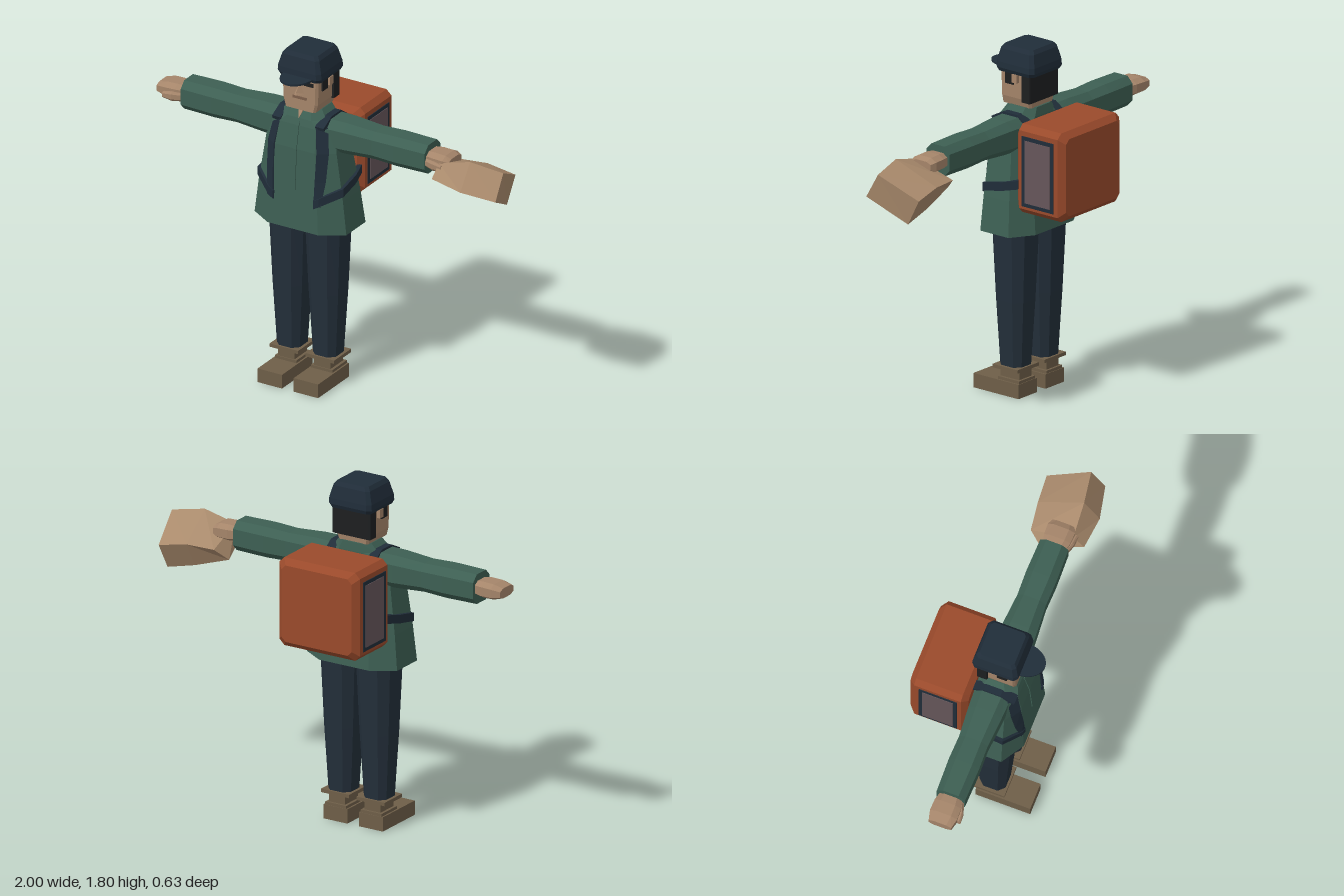
import * as THREE from 'three';

const makeMat = (name, color) => Object.assign(new THREE.MeshStandardMaterial({ color, flatShading: true }), { name });

// Eight-point chamfered rectangle at position t along an axis; k is the chamfer fraction.
function ring(axis, t, cu, cv, hu, hv, k = 0.45) {
  const a = hu * (1 - k), b = hv * (1 - k);
  return [[a, hv], [-a, hv], [-hu, b], [-hu, -b], [-a, -hv], [a, -hv], [hu, -b], [hu, b]].map(([u, v]) => {
    u += cu; v += cv;
    return axis === 'y' ? [u, t, v] : axis === 'x' ? [t, u, v] : [u, v, t];
  });
}

// Closed faceted solid through a list of rings, wound outward.
function loft(rings) {
  const tris = [], n = rings[0].length;
  for (let r = 0; r < rings.length - 1; r++) {
    for (let i = 0; i < n; i++) {
      const j = (i + 1) % n, A = rings[r], B = rings[r + 1];
      tris.push([A[i], A[j], B[j]], [A[i], B[j], B[i]]);
    }
  }
  const first = rings[0], last = rings[rings.length - 1];
  for (let i = 1; i < n - 1; i++) {
    tris.push([first[0], first[i + 1], first[i]], [last[0], last[i], last[i + 1]]);
  }
  let volume = 0;
  const o = new THREE.Vector3(...first[0]);
  for (const t of tris) {
    const [a, b, c] = t.map(p => new THREE.Vector3(...p).sub(o));
    volume += a.dot(b.cross(c));
  }
  if (volume < 0) tris.forEach(t => t.reverse());
  const g = new THREE.BufferGeometry();
  g.setAttribute('position', new THREE.Float32BufferAttribute(tris.flat(2), 3));
  g.computeVertexNormals();
  return g;
}

export function createModel() {
  const skin = makeMat('skin', 0xa5856a), kraft = makeMat('kraft paper', 0xa98a6c);
  const green = makeMat('jacket green', 0x3d5f53), navy = makeMat('navy', 0x202d39);
  const denim = makeMat('trouser blue', 0x232f3a), dark = makeMat('hair black', 0x1d1f20);
  const leather = makeMat('boot brown', 0x6e5e48), orange = makeMat('pack orange', 0x9a4a2b);
  const panel = makeMat('panel grey', 0x66565a), lip = makeMat('lip brown', 0x7d5f4b);

  const model = new THREE.Group();
  model.name = 'courier';
  const figure = new THREE.Group();
  figure.name = 'figure';
  figure.position.x = -0.14;
  model.add(figure);

  const add = (name, geo, mat) => {
    const m = new THREE.Mesh(geo, mat);
    m.name = name;
    figure.add(m);
    return m;
  };
  // Box from its lower and upper limits
  const box = (name, x0, x1, y0, y1, z0, z1, mat) =>
    add(name, new THREE.BoxGeometry(Math.abs(x1 - x0), y1 - y0, z1 - z0), mat)
      .position.set((x0 + x1) / 2, (y0 + y1) / 2, (z0 + z1) / 2);

  // Jacket: height, half width, back z, front z
  const coat = [[0.87, 0.267, -0.07, 0.26], [1.05, 0.245, -0.05, 0.25], [1.3, 0.205, -0.02, 0.235],
    [1.42, 0.19, -0.005, 0.212], [1.455, 0.13, -0.005, 0.2], [1.5, 0.093, 0, 0.172]];
  add('jacket', loft(coat.map(([y, hx, b, f]) => ring('y', y, 0, (b + f) / 2, hx, (f - b) / 2))), green);

  // Front surface of the jacket at a given side offset and height
  const coatZ = (x, y) => {
    let i = 0;
    while (i < coat.length - 2 && y > coat[i + 1][0]) i++;
    const t = (y - coat[i][0]) / (coat[i + 1][0] - coat[i][0]);
    const [hx, b, f] = [1, 2, 3].map(k => THREE.MathUtils.lerp(coat[i][k], coat[i + 1][k], t));
    return f - Math.max(0, x - hx * 0.55) * (f - b) / 2 / hx;
  };
  const zip = [1.44, 1.42, 1.3, 1.08].map(y => {
    const z = coatZ(0, y);
    return [[-0.009, y, z - 0.005], [0.009, y, z - 0.005], [0.009, y, z + 0.005], [-0.009, y, z + 0.005]];
  });
  add('zip', loft(zip), green);
  add('throat', loft([[[-0.015, 1.5, 0.165], [0.015, 1.5, 0.165], [0, 1.455, 0.19]],
    [[-0.015, 1.5, 0.179], [0.015, 1.5, 0.179], [0, 1.455, 0.203]]]), skin);

  // Ribbon from pairs of edge points, thickened toward the body axis
  const ribbon = (name, pairs) => add(name, loft(pairs.map(([a, b]) => {
    const move = (p, k) => [p[0] * k, p[1], 0.09 + (p[2] - 0.09) * k];
    return [move(a, 1.04), move(b, 1.04), move(b, 0.94), move(a, 0.94)];
  })), navy);

  for (const s of [-1, 1]) {
    const side = s > 0 ? 'left' : 'right';

    // Sleeve and hand, running out along x
    add(side + 'Sleeve', loft([[0.1, 0.085, 0.095], [0.24, 0.085, 0.088], [0.4, 0.075, 0.076],
      [0.53, 0.08, 0.08], [0.71, 0.078, 0.075]].map(([d, hy, hz]) => ring('x', s * d, 1.377, 0.09, hy, hz))), green);
    const reach = s > 0 ? 0.84 : 0.86;
    add(side + 'Hand', loft([[0.69, 0.036, 0.055], [0.75, 0.042, 0.07], [0.81, 0.04, 0.072],
      [reach, 0.026, 0.06]].map(([d, hy, hz]) => ring('x', s * d, 1.382, 0.09, hy, hz))), skin);
    add(side + 'Thumb', loft([[0.71, 0.022, 0.14], [0.76, 0.025, 0.157], [0.81, 0.016, 0.16]]
      .map(([d, h, z]) => ring('x', s * d, 1.368, z, h, 0.02))), skin);

    // Leg and boot
    const cx = s * 0.105;
    add(side + 'TrouserLeg', loft([[0.14, 0.066, 0.068], [0.5, 0.086, 0.088], [0.9, 0.102, 0.106]]
      .map(([y, hx, hz]) => ring('y', y, cx, 0.092, hx, hz))), denim);
    box(side + 'BootCuff', cx - 0.083, cx + 0.083, 0.137, 0.155, 0.012, 0.172, leather);
    box(side + 'BootAnkle', cx - 0.047, cx + 0.047, 0.08, 0.14, 0.03, 0.15, leather);
    box(side + 'BootHeel', cx - 0.062, cx + 0.062, 0.05, 0.09, 0.018, 0.155, leather);
    box(side + 'BootFoot', cx - 0.071, cx + 0.071, 0, 0.075, 0.015, 0.305, leather);

    // Pack straps: over the shoulder and down the chest, then round the waist
    const chest = [[0.1, 0.15, 1.43], [0.12, 0.17, 1.3], [0.118, 0.165, 1.15], [0.115, 0.15, 1.02]]
      .map(([i, o, y]) => [[s * i, y, coatZ(i, y)], [s * o, y, coatZ(o, y)]]);
    ribbon(side + 'ChestStrap', chest);
    add(side + 'ShoulderStrap', loft([[1.43, 0.205], [1.468, 0.13], [1.468, 0.04], [1.42, -0.03]].map(([y, z]) =>
      [[s * 0.1, y - 0.012, z], [s * 0.15, y - 0.012, z], [s * 0.15, y + 0.006, z + 0.006], [s * 0.1, y + 0.006, z + 0.006]])), navy);
    ribbon(side + 'WaistStrap', [[0.113, 1.005, coatZ(0.113, 1.02)], [0.14, 1.02, coatZ(0.14, 1.04)],
      [0.24, 1.075, 0.182], [0.237, 1.1, 0.06], [0.22, 1.12, -0.02]]
      .map(([x, y, z]) => [[s * x, y, z], [s * x, y + 0.045, z]]));

    // Face side details
    box(side + 'Ear', s * 0.1, s * 0.122, 1.625, 1.67, 0.072, 0.104, skin);
    box(side + 'Sideburn', s * 0.095, s * 0.111, 1.61, 1.685, 0.104, 0.155, dark);
    box(side + 'Eye', s * 0.028, s * 0.08, 1.638, 1.658, 0.19, 0.198, dark);

    // Pack side panel
    box(side + 'PanelFrame', s * 0.234, s * 0.242, 1.045, 1.412, -0.262, -0.06, navy);
    box(side + 'Panel', s * 0.238, s * 0.245, 1.065, 1.392, -0.243, -0.08, panel);
  }

  // Head
  add('neck', loft([1.44, 1.52].map(y => ring('y', y, 0, 0.09, 0.07, 0.07))), skin);
  add('head', loft([[1.498, 0.088, 0.01], [1.54, 0.1, 0.005], [1.7, 0.106, 0.005]]
    .map(([y, hx, b]) => ring('y', y, 0, (b + 0.194) / 2, hx, (0.194 - b) / 2, 0.12))), skin);
  add('hair', loft([1.53, 1.7].map(y => ring('y', y, 0, 0.024, 0.112, 0.028, 0.1))), dark);
  add('nose', loft([[[-0.03, 1.59, 0.19], [0.03, 1.59, 0.19], [0, 1.648, 0.19]],
    [[-0.008, 1.592, 0.232], [0.008, 1.592, 0.232], [0, 1.604, 0.228]]]), skin);
  box('mouth', -0.04, 0.04, 1.558, 1.572, 0.19, 0.198, lip);

  // Cap
  add('capCrown', loft([[1.67, 0.118, 0.113], [1.69, 0.127, 0.122], [1.72, 0.125, 0.12], [1.785, 0.107, 0.106], [1.805, 0.092, 0.092]]
    .map(([y, hx, hz]) => ring('y', y, 0, 0.092, hx, hz, 0.16))), navy);
  const brim = add('capBrim', new THREE.CylinderGeometry(0.086, 0.086, 0.01, 14, 1, false, -Math.PI / 2, Math.PI), navy);
  brim.scale.z = 1.35;
  brim.position.set(0, 1.685, 0.2);

  // Delivery pack
  add('backpack', loft([[-0.01, 0.03], [-0.04, 0], [-0.288, 0], [-0.318, 0.03]]
    .map(([z, inset]) => ring('z', z, 0, 1.234, 0.238 - inset, 0.232 - inset, 0.12))), orange);

  // Paper bag, widening from the grip to its base
  const bag = add('paperBag', loft([
    [[0.65, 1.39, 0.16], [0.645, 1.325, 0.22], [0.59, 1.255, 0.01], [0.635, 1.32, -0.06]],
    [[0.825, 1.435, 0.15], [0.82, 1.3, 0.235], [0.78, 1.195, -0.01], [0.785, 1.325, -0.08]],
    [[1, 1.405, 0.12], [1, 1.275, 0.195], [0.935, 1.158, -0.02], [0.94, 1.295, -0.093]]]), kraft);
  bag.position.x = 0.14;

  return model;
}
